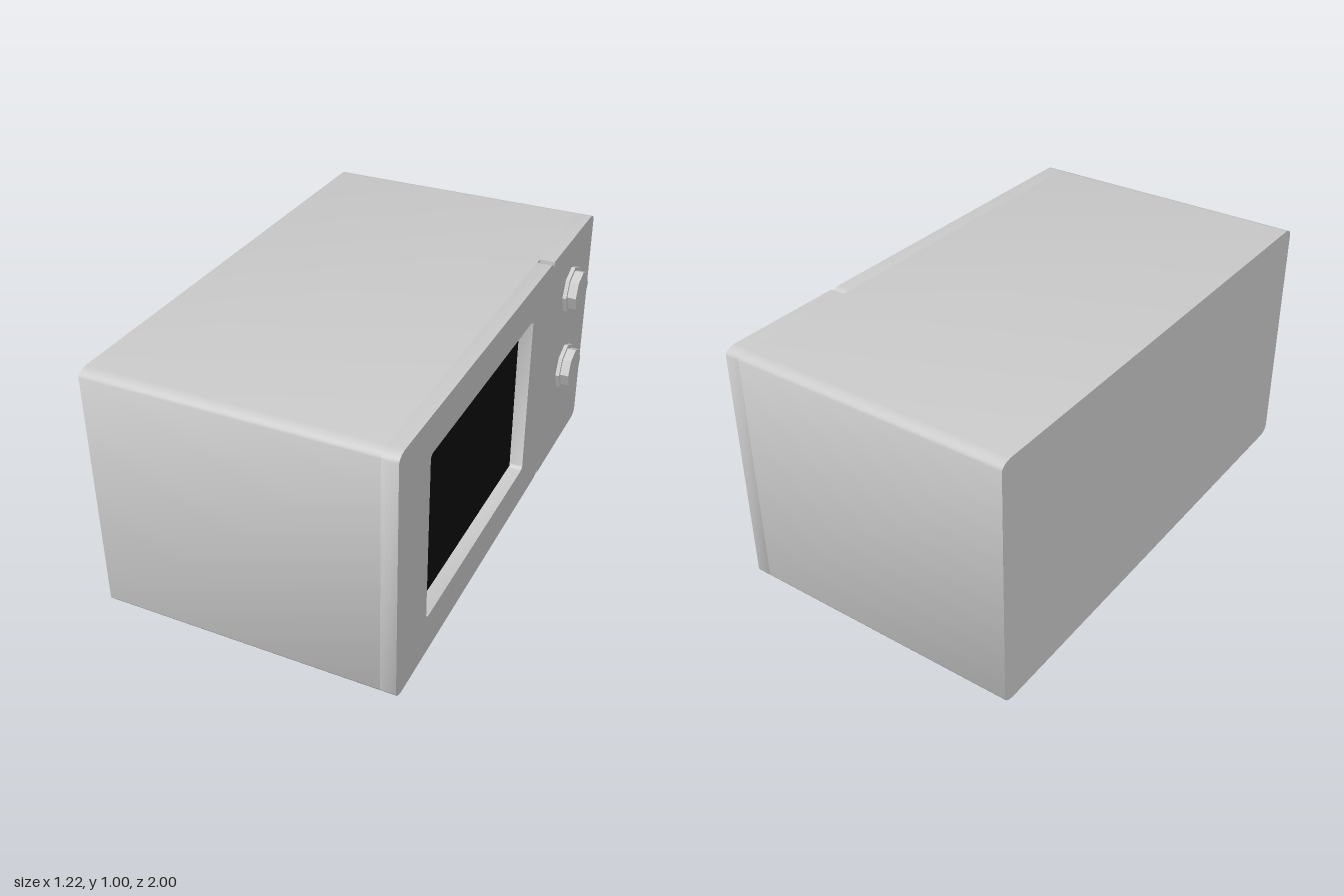
import * as THREE from 'three';
import { toCreasedNormals } from 'three/addons/utils/BufferGeometryUtils.js';

const BACK = -0.61, SEAM = 0.495, FACE = 0.555;
const CORNER = [0.045, 0.025];

const casing = new THREE.MeshStandardMaterial({ color: 0xcccccc });
casing.name = 'casing grey';
const glass = new THREE.MeshStandardMaterial({ color: 0x0d0d0d });
glass.name = 'window black';

// Rectangle (horizontal axis = -z) with elliptical corners of size [width, height] on each side
function trace(path, s0, s1, y0, y1, [lw, lh], [rw, rh]) {
  path.moveTo(s0 + lw, y0);
  path.lineTo(s1 - rw, y0);
  if (rw) path.quadraticCurveTo(s1 - rw * 0.15, y0 + rh * 0.15, s1, y0 + rh);
  path.lineTo(s1, y1 - rh);
  if (rw) path.quadraticCurveTo(s1 - rw * 0.15, y1 - rh * 0.15, s1 - rw, y1);
  path.lineTo(s0 + lw, y1);
  if (lw) path.quadraticCurveTo(s0 + lw * 0.15, y1 - lh * 0.15, s0, y1 - lh);
  path.lineTo(s0, y0 + lh);
  if (lw) path.quadraticCurveTo(s0 + lw * 0.15, y0 + lh * 0.15, s0 + lw, y0);
  return path;
}

// Extrude a side profile along x
function slab(name, shape, x0, x1) {
  const geo = new THREE.ExtrudeGeometry(shape, { depth: x1 - x0, bevelEnabled: false, curveSegments: 5 });
  geo.rotateY(Math.PI / 2).translate(x0, 0, 0);
  const mesh = new THREE.Mesh(toCreasedNormals(geo, 0.6), casing);
  mesh.name = name;
  return mesh;
}

export function createModel() {
  const model = new THREE.Group();
  model.name = 'microwave';

  // Main casing
  model.add(slab('casing', trace(new THREE.Shape(), -1, 1, 0, 1, CORNER, CORNER), BACK, SEAM));

  // Door with a window opening; its rounded inner corners leave small notches beside the panel
  const doorShape = trace(new THREE.Shape(), -1, 0.47, 0, 1, CORNER, [0.04, 0.025]);
  doorShape.holes.push(trace(new THREE.Path(), -0.75, 0.25, 0.16, 0.85, [0.02, 0.015], [0.02, 0.015]));
  model.add(slab('door', doorShape, SEAM, FACE));

  // Control panel, square where it meets the door
  model.add(slab('controlPanel', trace(new THREE.Shape(), 0.47, 1, 0, 1, [0, 0], CORNER), SEAM, FACE));

  // Dark window plate set into the opening
  const pane = new THREE.Mesh(new THREE.BoxGeometry(0.015, 0.64, 0.93), glass);
  pane.name = 'window';
  pane.position.set(0.503, 0.504, 0.247);
  model.add(pane);

  // Two octagonal knobs, each a wide collar and a narrower cap
  for (const [name, y] of [['upperKnob', 0.77], ['lowerKnob', 0.404]]) {
    const knob = new THREE.Group();
    knob.name = name;
    knob.position.set(FACE, y, -0.725);
    for (const [part, radius, x0, x1] of [['collar', 0.099, -0.005, 0.016], ['cap', 0.084, 0.01, 0.052]]) {
      const geo = new THREE.CylinderGeometry(radius, radius, x1 - x0, 8);
      geo.rotateZ(-Math.PI / 2).translate((x0 + x1) / 2, 0, 0);
      const mesh = new THREE.Mesh(toCreasedNormals(geo, 0.3), casing);
      mesh.name = part;
      knob.add(mesh);
    }
    model.add(knob);
  }
  return model;
}
